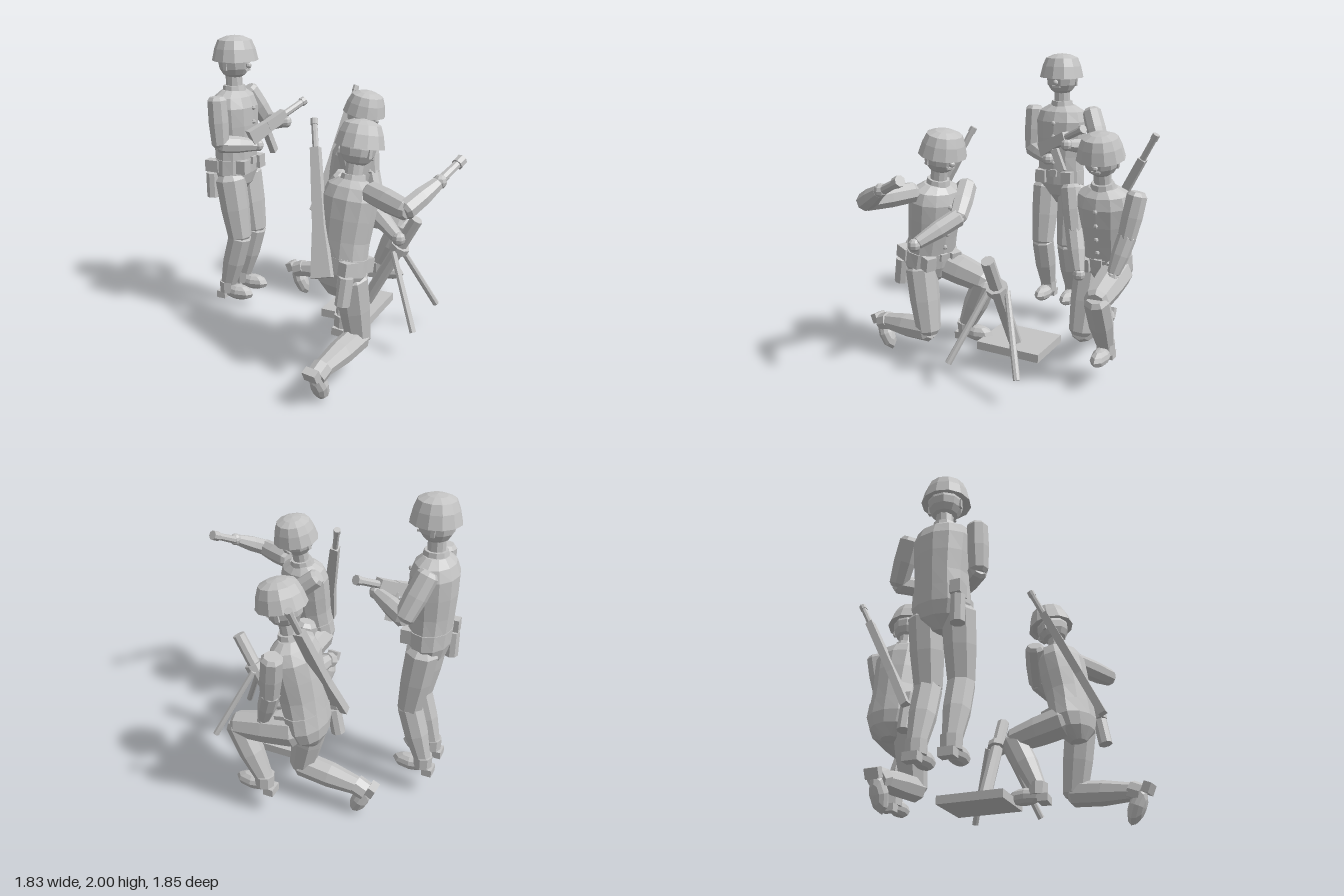
import * as THREE from 'three';

const grey = new THREE.MeshStandardMaterial({ color: 0xc4c4c4 });
grey.name = 'lightGrey';
const V = (p) => new THREE.Vector3(...p);
const mix = (a, b, t) => a.map((v, i) => v + (b[i] - v) * t);

// Faceted mesh added to a parent
function part(parent, name, geo, pos = [0, 0, 0]) {
  const g = geo.index ? geo.toNonIndexed() : geo;
  g.computeVertexNormals();
  const m = new THREE.Mesh(g, grey);
  m.name = name;
  m.position.set(...pos);
  parent.add(m);
  return m;
}

const lathe = (pts, n) => new THREE.LatheGeometry(pts.map(([r, y]) => new THREE.Vector2(r, y)), n);
const box = (parent, name, size, pos) => part(parent, name, new THREE.BoxGeometry(...size), pos);
const ball = (parent, name, r, pos, w = 8, h = 6) => part(parent, name, new THREE.SphereGeometry(r, w, h), pos);

// Revolved segment from a to b, with chamfered ends (cap = 0 gives flat ends)
function limb(parent, name, a, b, r0, r1, { mid = (r0 + r1) / 2, cap = 0.35 } = {}) {
  const dir = V(b).sub(V(a)), L = dir.length();
  const pts = [[0, -cap * r0], [0.72 * r0, -cap * r0], [r0, 0], [mid, L / 2], [r1, L], [0.72 * r1, L + cap * r1], [0, L + cap * r1]];
  const m = part(parent, name, lathe(pts, 8), a);
  m.quaternion.setFromUnitVectors(new THREE.Vector3(0, 1, 0), dir.normalize());
}

// Tapered rectangular bar from a to b; its width lies along the side hint
function bar(parent, name, a, b, w0, w1, depth, side) {
  const dir = V(b).sub(V(a)), L = dir.length();
  const g = new THREE.BoxGeometry(1, L, depth), p = g.attributes.position;
  for (let i = 0; i < p.count; i++) p.setX(i, p.getX(i) * (p.getY(i) < 0 ? w0 : w1));
  const m = part(parent, name, g, mix(a, b, 0.5));
  const y = dir.normalize(), z = V(side).cross(y).normalize(), x = y.clone().cross(z);
  m.quaternion.setFromRotationMatrix(new THREE.Matrix4().makeBasis(x, y, z));
}

// Oval body section from [height, half depth, half width] rings
function bodySection(parent, name, rings) {
  const g = lathe(rings.map(([h, d]) => [d, h]), 12), p = g.attributes.position;
  for (let i = 0; i < p.count; i++) {
    const [, d, w] = rings[i % rings.length];
    if (d > 0) p.setX(i, p.getX(i) * w / d);
  }
  part(parent, name, g, [0, 0, -0.004]);
}

// Torso, head, helmet and belt kit around the pelvis
function upperBody(parent, pelvis, yaw, lean) {
  const u = new THREE.Group();
  u.name = 'upperBody';
  u.position.set(...pelvis);
  u.rotation.set(lean, yaw, 0, 'YXZ');
  parent.add(u);
  bodySection(u, 'hips', [[-0.16, 0, 0], [-0.15, 0.05, 0.06], [-0.08, 0.105, 0.15], [0, 0.128, 0.183], [0.1, 0.134, 0.178], [0.1, 0, 0]]);
  bodySection(u, 'jacket', [[0.08, 0, 0], [0.08, 0.13, 0.172], [0.2, 0.138, 0.168], [0.33, 0.146, 0.18], [0.45, 0.146, 0.188],
    [0.52, 0.12, 0.165], [0.56, 0.075, 0.095], [0.56, 0, 0]]);
  part(u, 'collar', new THREE.CylinderGeometry(0.072, 0.08, 0.035, 10), [0, 0.572, 0]);
  part(u, 'neck', new THREE.CylinderGeometry(0.055, 0.055, 0.14, 10), [0, 0.62, 0]);
  ball(u, 'head', 0.11, [0, 0.747, 0.005], 10, 8).scale.y = 1.05;
  part(u, 'helmet', lathe([[0, 0.765], [0.13, 0.765], [0.154, 0.756], [0.135, 0.835], [0.112, 0.89], [0.06, 0.912], [0, 0.92]], 12), [0, 0, 0.016]);
  ball(u, 'nose', 0.02, [0, 0.725, 0.117]);
  box(u, 'moustache', [0.055, 0.013, 0.02], [0, 0.695, 0.104]);
  for (const s of [-1, 1]) {
    box(u, 'ear', [0.015, 0.055, 0.025], [s * 0.104, 0.725, 0]);
    box(u, 'ammoPouch', [0.075, 0.09, 0.075], [s * 0.1, 0.055, 0.105]);
  }
  for (let i = 0; i < 4; i++) ball(u, 'button', 0.016, [0, 0.445 - i * 0.095, i === 3 ? 0.135 : 0.143], 6, 4);
  box(u, 'beltBuckle', [0.05, 0.05, 0.02], [0, 0.085, 0.132]);
  box(u, 'hipPouchFlap', [0.065, 0.08, 0.1], [-0.145, 0.055, -0.095]);
  part(u, 'canteen', new THREE.CylinderGeometry(0.045, 0.045, 0.17, 8), [-0.15, -0.08, -0.105]);
}

// Arm through shoulder, elbow and hand
function arm(parent, name, [s, e, h]) {
  const g = new THREE.Group();
  g.name = name;
  limb(g, 'upperArm', s, e, 0.066, 0.06, { mid: 0.069 });
  limb(g, 'forearm', e, mix(e, h, 0.92), 0.06, 0.04, { mid: 0.057 });
  ball(g, 'hand', 0.042, h);
  parent.add(g);
}

// Leg through hip, knee and ankle, with a boot pointing along toe
function leg(parent, name, [hip, knee, ankle], toe) {
  const g = new THREE.Group();
  g.name = name;
  limb(g, 'thigh', hip, knee, 0.105, 0.082, { mid: 0.1 });
  limb(g, 'shin', knee, ankle, 0.082, 0.055, { mid: 0.08 });
  const boot = new THREE.Group();
  boot.name = 'boot';
  boot.position.set(...ankle);
  const z = V(toe).normalize();
  const x = V(knee).sub(V(ankle)).cross(z).normalize(), y = z.clone().cross(x);
  boot.quaternion.setFromRotationMatrix(new THREE.Matrix4().makeBasis(x, y, z));
  part(boot, 'ankleCuff', new THREE.CylinderGeometry(0.064, 0.062, 0.08, 8), [0, -0.01, 0]);
  ball(boot, 'shoe', 1, [0, -0.045, 0.08]).scale.set(0.056, 0.055, 0.12);
  box(boot, 'heel', [0.09, 0.05, 0.065], [0, -0.074, -0.042]);
  g.add(boot);
  parent.add(g);
}

// Long rifle slung across the back
function rifle(parent, butt, muzzle) {
  const at = (t) => mix(butt, muzzle, t);
  const g = new THREE.Group();
  g.name = 'rifle';
  bar(g, 'rifleButt', butt, at(0.32), 0.13, 0.075, 0.05, [1, 0, 0]);
  bar(g, 'rifleStock', at(0.32), at(0.82), 0.075, 0.055, 0.05, [1, 0, 0]);
  limb(g, 'rifleBarrel', at(0.8), muzzle, 0.02, 0.02, { cap: 0 });
  limb(g, 'frontSight', at(0.97), at(1.01), 0.024, 0.024, { cap: 0 });
  parent.add(g);
}

function soldier(root, name, { pelvis, yaw, lean, arms, legs, toes }) {
  const g = new THREE.Group();
  g.name = name;
  upperBody(g, pelvis, yaw, lean);
  arm(g, 'rightArm', arms[0]);
  arm(g, 'leftArm', arms[1]);
  leg(g, 'rightLeg', legs[0], toes[0]);
  leg(g, 'leftLeg', legs[1], toes[1]);
  root.add(g);
  return g;
}

export function createModel() {
  const root = new THREE.Group();
  root.name = 'mortarCrew';

  // Standing soldier with a short gun
  const standing = soldier(root, 'standingSoldier', {
    pelvis: [-0.765, 1.08, -0.02], yaw: Math.PI / 2, lean: 0,
    arms: [[[-0.765, 1.6, 0.195], [-0.75, 1.31, 0.2], [-0.585, 1.275, 0.0]],
      [[-0.785, 1.6, -0.24], [-0.7, 1.37, -0.35], [-0.47, 1.41, -0.19]]],
    legs: [[[-0.755, 1.04, 0.085], [-0.7, 0.63, 0.085], [-0.81, 0.25, 0.085]],
      [[-0.755, 1.04, -0.122], [-0.7, 0.63, -0.118], [-0.81, 0.25, -0.12]]],
    toes: [[1, 0, 0], [1, 0, 0]],
  });
  const stock = [-0.605, 1.335, 0.06], muzzle = [-0.4, 1.54, -0.34];
  bar(standing, 'gunStock', stock, mix(stock, muzzle, 0.3), 0.1, 0.08, 0.05, [0, 1, 0]);
  bar(standing, 'gunBody', mix(stock, muzzle, 0.3), mix(stock, muzzle, 0.62), 0.075, 0.075, 0.055, [0, 1, 0]);
  limb(standing, 'gunBarrel', mix(stock, muzzle, 0.6), muzzle, 0.024, 0.024, { cap: 0 });
  limb(standing, 'gunMuzzle', mix(stock, muzzle, 0.94), muzzle, 0.03, 0.03, { cap: 0 });
  bar(standing, 'gunMagazine', [-0.55, 1.37, -0.06], [-0.535, 1.21, -0.135], 0.05, 0.05, 0.04, [0, 0, 1]);

  // Kneeling soldier with arms lowered to the raised leg
  const resting = soldier(root, 'restingSoldier', {
    pelvis: [-0.22, 0.69, -0.6], yaw: Math.PI / 2, lean: 0.19,
    arms: [[[-0.11, 1.21, -0.385], [-0.065, 0.95, -0.435], [0.02, 0.69, -0.51]],
      [[-0.11, 1.21, -0.825], [-0.07, 0.95, -0.785], [0.01, 0.71, -0.73]]],
    legs: [[[-0.21, 0.66, -0.495], [-0.12, 0.245, -0.48], [-0.52, 0.2, -0.49]],
      [[-0.18, 0.67, -0.69], [0.2, 0.61, -0.705], [0.03, 0.25, -0.71]]],
    toes: [[0.4, -0.9, 0], [1, 0, 0]],
  });
  rifle(resting, [-0.345, 0.7, -0.43], [-0.247, 1.56, -0.88]);

  // Kneeling soldier with one arm raised
  const loading = soldier(root, 'loadingSoldier', {
    pelvis: [0.24, 0.69, 0.46], yaw: Math.PI - 0.36, lean: 0.19,
    arms: [[[0.43, 1.2, 0.45], [0.7, 1.18, 0.61], [0.82, 1.3, 0.4]],
      [[0.115, 1.2, 0.25], [0.31, 1.04, 0.2], [0.57, 0.905, 0.355]]],
    legs: [[[0.32, 0.66, 0.48], [0.345, 0.245, 0.42], [0.275, 0.2, 0.815]],
      [[0.16, 0.67, 0.42], [0.195, 0.6, 0.07], [0.16, 0.25, 0.235]]],
    toes: [[0.06, -0.9, -0.4], [0, 0, -1]],
  });
  rifle(loading, [0.215, 0.71, 0.66], [-0.02, 1.55, 0.275]);
  limb(loading, 'heldTube', [0.8, 1.28, 0.43], [0.885, 1.385, 0.22], 0.03, 0.024, { cap: 0 });
  limb(loading, 'heldTubeEnd', [0.872, 1.368, 0.255], [0.888, 1.39, 0.21], 0.034, 0.034, { cap: 0 });

  // Mortar: base plate, tilted tube, collar and bipod
  const mortar = new THREE.Group();
  mortar.name = 'mortar';
  box(mortar, 'basePlate', [0.35, 0.055, 0.443], [0.105, 0.178, -0.134]);
  const base = [0.15, 0.19, -0.13], top = [0.515, 0.865, -0.13];
  limb(mortar, 'mortarTube', base, top, 0.043, 0.043, { cap: 0 });
  limb(mortar, 'mortarCollar', mix(base, top, 0.65), mix(base, top, 0.71), 0.068, 0.068, { cap: 0 });
  for (const s of [-1, 1]) {
    limb(mortar, 'bipodLeg', [0.38, 0.64, -0.13 + s * 0.06], [0.595, 0.18, -0.13 + s * 0.24], 0.02, 0.022, { cap: 0 });
  }
  root.add(mortar);
  return root;
}
